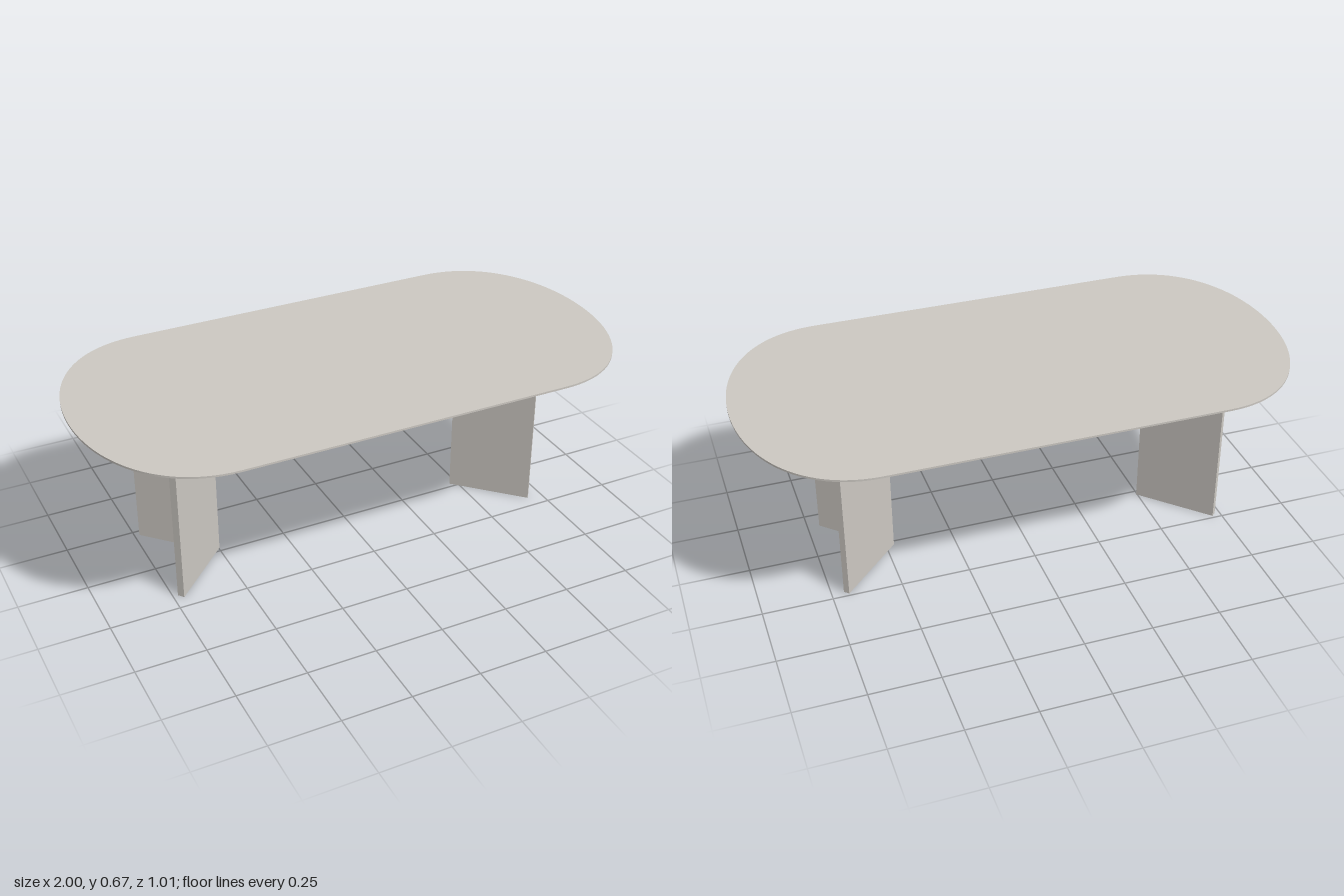
import * as THREE from 'three';

const BOTTOM = 0.625, RIM = 0.658, TOP = 0.665;

// Rounded oblong outline as [x, z], pulled inward by inset along its normal
function outline(inset) {
  const v = (x, y) => new THREE.Vector2(x, y);
  const corner = new THREE.CubicBezierCurve(v(1, 0), v(1, 0.27), v(0.86, 0.505), v(0.6, 0.505));
  const n = 24, quarter = [];
  for (let i = 0; i <= n; i++) {
    const t = corner.getTangent(i / n), p = corner.getPoint(i / n);
    quarter.push(v(p.x - t.y * inset, p.y + t.x * inset));
  }
  const half = [...quarter, ...quarter.slice().reverse().map(p => v(-p.x, p.y))];
  return [...half, ...half.slice(1, -1).reverse().map(p => v(p.x, -p.y))];
}

// Closed band between two outlines at different heights
function band(lower, y0, upper, y1) {
  const n = lower.length, pos = [], idx = [];
  for (let i = 0; i < n; i++) {
    pos.push(lower[i].x, y0, lower[i].y, upper[i].x, y1, upper[i].y);
    const a = i * 2, b = ((i + 1) % n) * 2;
    idx.push(a, a + 1, b, b, a + 1, b + 1);
  }
  const g = new THREE.BufferGeometry();
  g.setAttribute('position', new THREE.Float32BufferAttribute(pos, 3));
  g.setIndex(idx);
  g.computeVertexNormals();
  return g;
}

// Flat cap facing up or down
function cap(points, y, up) {
  const g = new THREE.ShapeGeometry(new THREE.Shape(points));
  g.rotateX(up ? -Math.PI / 2 : Math.PI / 2);
  return g.translate(0, y, 0);
}

export function createModel() {
  const stone = new THREE.MeshStandardMaterial({ color: 0xccc8c2 });
  stone.name = 'warmGrey';

  const model = new THREE.Group();
  model.name = 'table';
  const add = (name, geometry, parent) => {
    const mesh = new THREE.Mesh(geometry, stone);
    mesh.name = name;
    parent.add(mesh);
  };

  // Tabletop: thin upright rim over a wide under-bevel
  const tabletop = new THREE.Group();
  tabletop.name = 'tabletop';
  const outer = outline(0), inner = outline(0.08);
  add('topSurface', cap(outer, TOP, true), tabletop);
  add('rim', band(outer, RIM, outer, TOP), tabletop);
  add('underBevel', band(inner, BOTTOM, outer, RIM), tabletop);
  add('underside', cap(inner, BOTTOM, false), tabletop);
  model.add(tabletop);

  // V-shaped legs, each opening towards its own end of the table
  const section = [[0.47, -0.02], [0.69, 0.2], [0.706, 0.18], [0.502, -0.014], [0.706, -0.225], [0.69, -0.24]];
  for (const [name, side, shift] of [['leftLeg', 1, 0], ['rightLeg', -1, -0.026]]) {
    const shape = new THREE.Shape(section.map(([x, z]) => new THREE.Vector2(side * x + shift, -z)));
    const g = new THREE.ExtrudeGeometry(shape, { depth: BOTTOM, bevelEnabled: false });
    add(name, g.rotateX(-Math.PI / 2), model);
  }
  return model;
}
